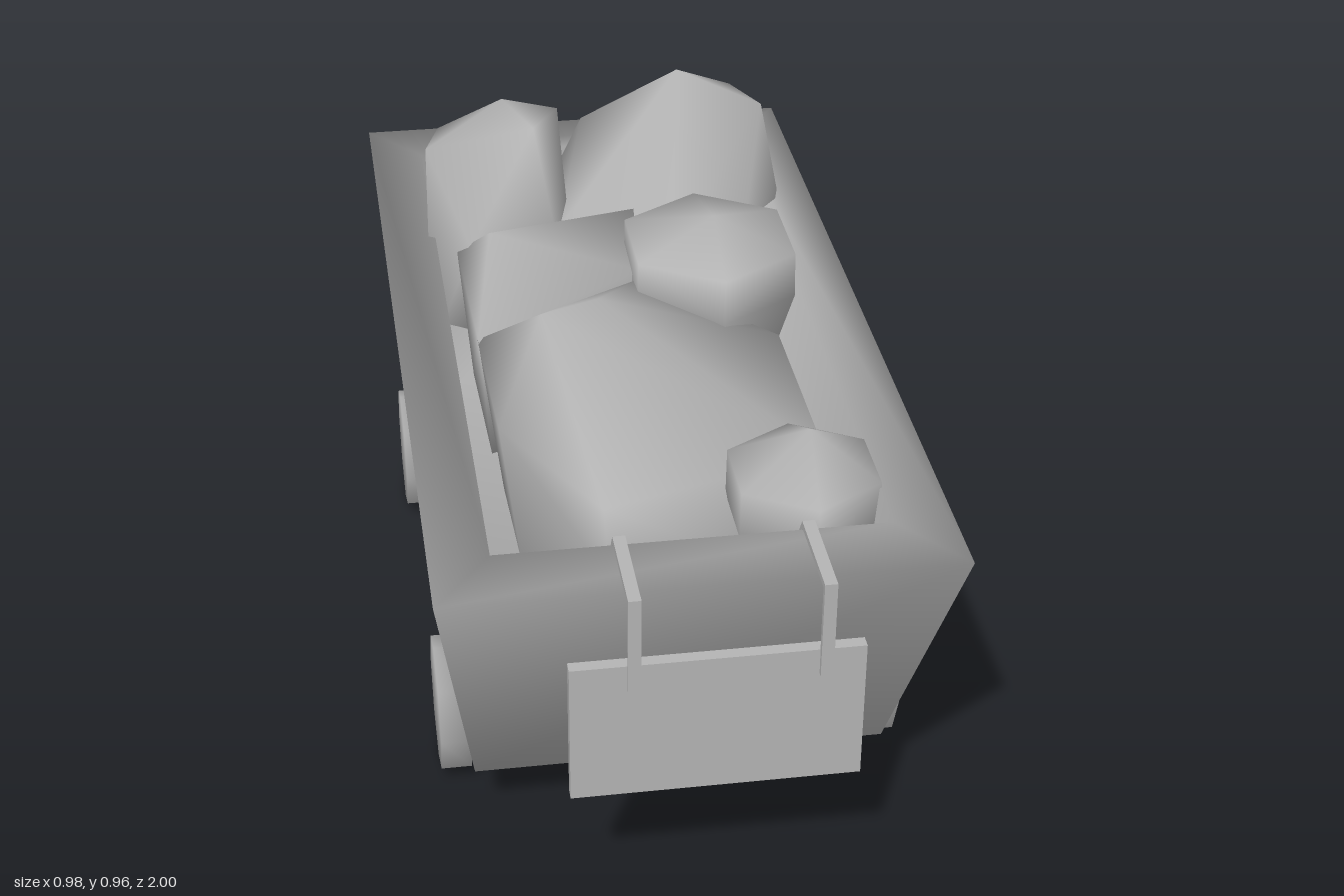
import * as THREE from 'three';
import { mergeVertices } from 'three/addons/utils/BufferGeometryUtils.js';
import { ConvexGeometry } from 'three/addons/geometries/ConvexGeometry.js';

const grey = new THREE.MeshStandardMaterial({ color: 0xb4b4b4 });
grey.name = 'grey';

// Share corners so the shading runs smoothly over the facets
function smooth(geometry) {
  geometry.deleteAttribute('normal');
  geometry.deleteAttribute('uv');
  const g = mergeVertices(geometry, 1e-4);
  g.computeVertexNormals();
  return g;
}

function add(parent, name, geometry, x = 0, y = 0, z = 0) {
  const mesh = new THREE.Mesh(geometry, grey);
  mesh.name = name;
  mesh.position.set(x, y, z);
  parent.add(mesh);
  return mesh;
}

// Open tub lofted through rectangles: underside, outer rim, inner rim, floor
function tubGeometry() {
  const rings = [ // half width, y, back z, front z
    [0.41, 0.135, -0.76, 0.68],
    [0.49, 0.735, -1.0, 0.95],
    [0.375, 0.735, -0.86, 0.8],
    [0.32, 0.22, -0.67, 0.57],
  ];
  const position = [];
  const index = [];
  for (const [w, y, back, front] of rings) {
    position.push(-w, y, front, w, y, front, w, y, back, -w, y, back);
  }
  for (let r = 0; r < rings.length - 1; r++) {
    for (let i = 0; i < 4; i++) {
      const a = r * 4 + i, b = r * 4 + (i + 1) % 4;
      index.push(a, b, b + 4, a, b + 4, a + 4);
    }
  }
  index.push(0, 2, 1, 0, 3, 2, 12, 13, 14, 12, 14, 15);
  const g = new THREE.BufferGeometry();
  g.setAttribute('position', new THREE.Float32BufferAttribute(position, 3));
  g.setIndex(index);
  g.computeVertexNormals();
  return g;
}

// Chunk of ore: the given upper corners plus a shrunken copy as its base
function rockGeometry(corners, baseY, shrink = 0.85) {
  const points = corners.map((c) => new THREE.Vector3(...c));
  const middle = new THREE.Vector3();
  points.forEach((p) => middle.addScaledVector(p, 1 / points.length));
  const base = points.map((p) => new THREE.Vector3(
    middle.x + (p.x - middle.x) * shrink, baseY, middle.z + (p.z - middle.z) * shrink));
  return smooth(new ConvexGeometry([...points, ...base]));
}

// Rounded lump: six-sided rings below a peak
function lumpGeometry(x, z, rx, rz, ringY, peakY, baseY) {
  const points = [new THREE.Vector3(x + 0.01, peakY, z)];
  for (const [y, s] of [[ringY, 0.99], [ringY - 0.1, 1], [baseY, 0.6]]) {
    for (let i = 0; i < 6; i++) {
      const a = i * Math.PI / 3;
      points.push(new THREE.Vector3(x + Math.sin(a) * rx * s, y, z + Math.cos(a) * rz * s));
    }
  }
  return smooth(new ConvexGeometry(points));
}

export function createModel() {
  const cart = new THREE.Group();
  cart.name = 'oreCart';
  add(cart, 'tub', tubGeometry());

  // Wheels
  const wheel = smooth(new THREE.CylinderGeometry(0.137, 0.137, 0.062, 8).rotateZ(Math.PI / 2));
  for (const side of [-1, 1]) {
    for (const z of [0.45, -0.53]) {
      add(cart, (z > 0 ? 'front' : 'back') + (side > 0 ? 'Left' : 'Right') + 'Wheel',
        wheel, side * 0.438, 0.137, z);
    }
  }

  // Hanging plate and the two hooks over the front rim
  add(cart, 'plate', new THREE.BoxGeometry(0.546, 0.294, 0.025), 0.017, 0.454, 0.977);
  const hookShape = new THREE.Shape([
    [1.0, 0.548], [1.0, 0.751], [0.795, 0.751], [0.715, 0.625],
    [0.727, 0.618], [0.803, 0.738], [0.988, 0.738], [0.988, 0.548],
  ].map(([z, y]) => new THREE.Vector2(-z, y)));
  const hook = new THREE.ExtrudeGeometry(hookShape, { depth: 0.024, bevelEnabled: false });
  hook.rotateY(Math.PI / 2).translate(-0.012, 0, 0);
  add(cart, 'rightHook', hook, -0.138);
  add(cart, 'leftHook', hook, 0.215);

  // Ore load
  const rocks = new THREE.Group();
  rocks.name = 'ore';
  cart.add(rocks);
  add(rocks, 'backRightRock', rockGeometry([
    [-0.2, 0.96, -0.66], [-0.07, 0.91, -0.7], [-0.16, 0.86, -0.81], [-0.34, 0.85, -0.76],
    [-0.38, 0.88, -0.59], [-0.14, 0.93, -0.56], [-0.39, 0.74, -0.45], [-0.3, 0.73, -0.39],
    [-0.11, 0.74, -0.4], [-0.07, 0.76, -0.54],
  ], 0.5));
  add(rocks, 'backLeftRock', rockGeometry([
    [0.23, 0.92, -0.85], [0.35, 0.89, -0.82], [0.41, 0.875, -0.73], [0, 0.82, -0.83],
    [-0.07, 0.77, -0.7], [-0.1, 0.73, -0.45], [0.15, 0.72, -0.37], [0.32, 0.74, -0.42],
    [0.41, 0.76, -0.52], [0.25, 0.74, -0.89], [0.42, 0.74, -0.68],
  ], 0.45));
  add(rocks, 'middleRightRock', rockGeometry([
    [-0.33, 0.71, -0.42], [-0.26, 0.77, -0.38], [0.07, 0.77, -0.45], [0.05, 0.75, -0.2],
    [-0.32, 0.71, -0.02],
  ], 0.4));
  add(rocks, 'middleLeftRock', lumpGeometry(0.2, -0.21, 0.197, 0.21, 0.815, 0.865, 0.45));
  add(rocks, 'largeRock', rockGeometry([
    [-0.2, 0.83, 0.1], [-0.07, 0.8, 0], [-0.32, 0.7, -0.04], [0.05, 0.73, -0.2],
    [0.32, 0.67, -0.02], [0.33, 0.65, 0.42], [0.1, 0.6, 0.67], [-0.14, 0.58, 0.69],
    [-0.14, 0.68, 0.6], [-0.31, 0.69, 0.3],
  ], 0.35));
  add(rocks, 'frontRock', lumpGeometry(0.245, 0.605, 0.157, 0.157, 0.745, 0.828, 0.5));
  return cart;
}
